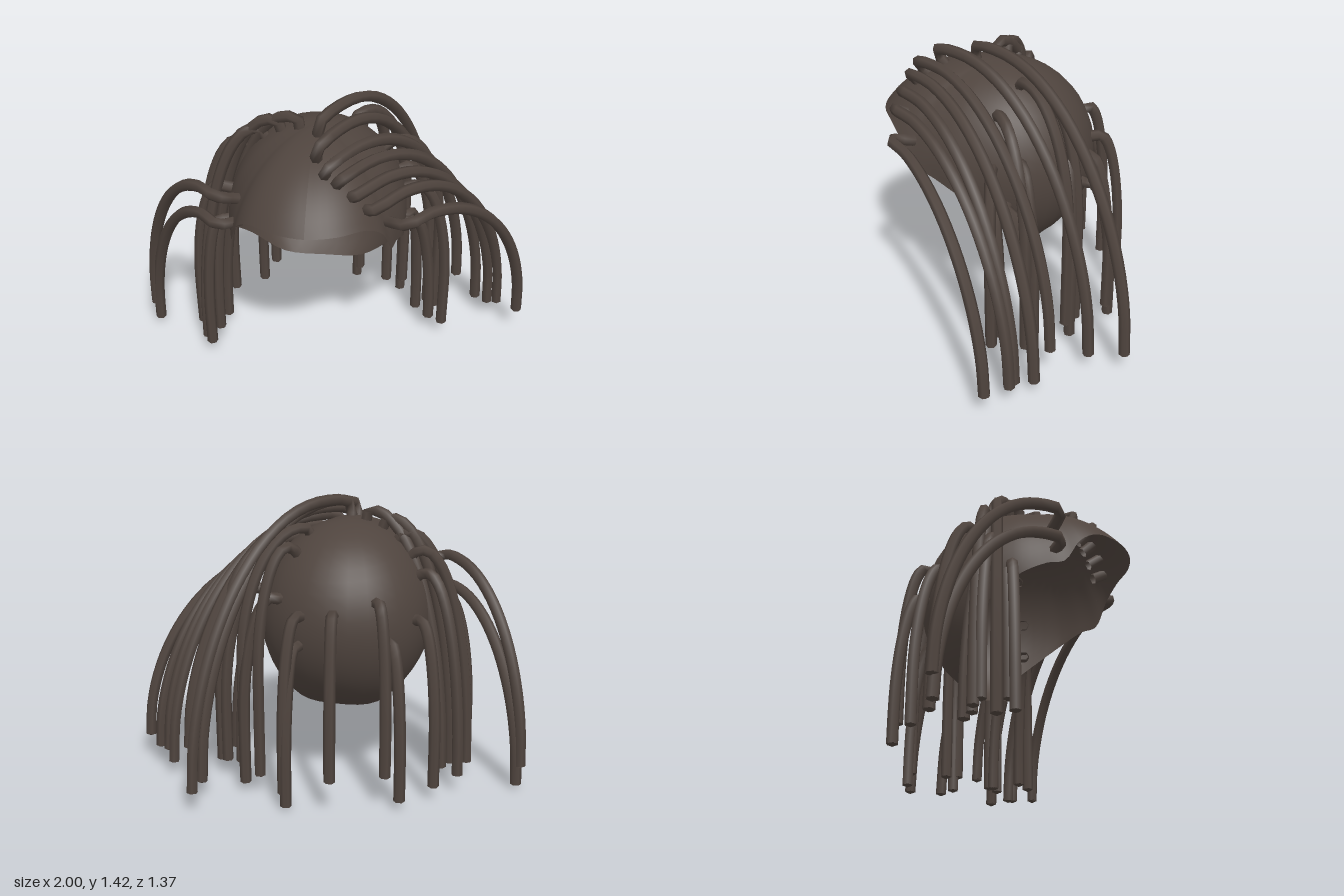
import * as THREE from 'three';

const V = (x, y, z) => new THREE.Vector3(x, y, z);
const CENTRE = V(-0.07, 0.855, 0.1);
const RADIUS = 0.46, WIDEN = 0.92, THICK = 0.028;

// Open-faced cap: meridians run from the crown down to a shaped hairline
function capGeometry() {
  const half = [
    [0, 1.05, 0.68], [0.14, 1.05, 0.65], [0.26, 1.04, 0.57], [0.33, 0.98, 0.5], [0.37, 0.86, 0.43],
    [0.39, 0.85, 0.35], [0.42, 0.78, 0.2], [0.36, 0.6, -0.02], [0.2, 0.44, -0.1], [0, 0.415, -0.12],
  ];
  const other = half.slice(1, -1).reverse().map(([x, y, z]) => [-x, y, z]);
  const rim = new THREE.CatmullRomCurve3([...half, ...other].map((p) => V(...p)), true);
  const cols = 72, rows = 20, pos = [], index = [];
  for (let i = 0; i <= cols; i++) {
    const e = rim.getPoint((i % cols) / cols);
    const d = V(e.x / WIDEN, e.y - CENTRE.y, e.z - CENTRE.z);
    const reach = d.length(), polar = Math.acos(d.y / reach), turn = Math.atan2(d.x, d.z);
    for (let j = 0; j <= rows; j++) {
      const t = j / rows;
      const p = V().setFromSphericalCoords(RADIUS + (reach - RADIUS) * t ** 1.6, polar * t, turn);
      pos.push(p.x * WIDEN + CENTRE.x, p.y + CENTRE.y, p.z + CENTRE.z);
      if (i < cols && j < rows) {
        const a = i * (rows + 1) + j, b = a + rows + 1;
        index.push(a, a + 1, b + 1, a, b + 1, b);
      }
    }
  }
  const g = new THREE.BufferGeometry();
  g.setAttribute('position', new THREE.Float32BufferAttribute(pos, 3));
  g.setIndex(index);
  g.computeVertexNormals();
  return g;
}

// Point just under the cap's surface, below a given elbow
function rootUnder([x, y, z]) {
  const d = V(x, y, z).sub(CENTRE);
  return d.multiplyScalar((RADIUS - 0.015) / Math.hypot(d.x / WIDEN, d.y, d.z)).add(CENTRE);
}

// Strand: leaves the cap at the root, arches over the elbow and hangs to the tip
function strand(name, root, elbow, tip, bend, lift, material) {
  const e = V(...elbow), t = V(...tip);
  const height = e.y - t.y;
  const drop = height - bend > 0.1 ? bend : height;
  const pts = [root];
  for (let i = 0; i <= 8; i++) {
    const a = (i / 8) * Math.PI / 2, s = Math.sin(a);
    pts.push(V(e.x + (t.x - e.x) * s, e.y - drop * (1 - Math.cos(a)) + lift * s * (1 - s), e.z + (t.z - e.z) * s));
  }
  if (drop < height) pts.push(t);
  const group = new THREE.Group();
  group.name = name;
  const tube = new THREE.Mesh(
    new THREE.TubeGeometry(new THREE.CatmullRomCurve3(pts), 28, THICK, 6), material);
  tube.name = name + 'Tube';
  const end = new THREE.Mesh(new THREE.ConeGeometry(THICK, 0.014, 6), material);
  end.name = name + 'Tip';
  end.rotation.x = Math.PI;
  end.position.set(t.x, t.y - 0.005, t.z);
  group.add(tube, end);
  return group;
}

export function createModel() {
  const model = new THREE.Group();
  model.name = 'hair';
  const brown = new THREE.MeshStandardMaterial({ color: 0x4f443e, side: THREE.DoubleSide });
  brown.name = 'dark brown hair';

  const cap = new THREE.Mesh(capGeometry(), brown);
  cap.name = 'scalpCap';
  model.add(cap);

  // Long locks swept back, as [elbow, tip, lift]
  const swept = [
    [[-0.05, 1.37, 0.22], [0.5, 0.11, -0.66], 0.34],
    [[-0.04, 1.34, 0.41], [0.52, 0.09, -0.49], 0.37],
    [[0.01, 1.29, 0.49], [0.65, 0.19, -0.33], 0.33],
    [[0.07, 1.25, 0.51], [0.76, 0.08, -0.28], 0.28],
    [[0.14, 1.19, 0.53], [0.82, 0.11, -0.2], 0.24],
    [[0.22, 1.13, 0.54], [0.87, 0.12, -0.19], 0.2],
    [[0.36, 1.04, 0.51], [0.97, 0.14, -0.1], 0.1],
    [[-0.5, 1.09, 0.43], [-0.975, 0.13, 0], 0.1],
    [[-0.5, 0.94, 0.43], [-0.96, 0.03, 0], 0.1],
  ];
  swept.forEach(([e, t, lift]) => {
    const elbow = V(...e);
    const root = elbow.clone().add(CENTRE.clone().sub(elbow).setLength(0.12));
    model.add(strand('sweptLock', root, e, t, 9, lift, brown));
  });

  // Row of locks stepping down from the crown on the right side
  const crown = [
    [[-0.16, 1.35, 0.14], [-0.58, 0.08, 0.0]],
    [[-0.26, 1.32, 0.11], [-0.62, 0.09, 0.05]],
    [[-0.35, 1.26, 0.08], [-0.66, 0.06, 0.17]],
    [[-0.43, 1.18, 0.05], [-0.7, 0.09, 0.08]],
    [[-0.47, 1.08, 0.0], [-0.68, 0.1, -0.12]],
  ];
  crown.forEach(([e, t]) => model.add(strand('crownLock', rootUnder(e), e, t, 9, 0.1, brown)));

  // Short locks that bend out of the cap and hang down
  const hanging = [
    [[-0.53, 0.96, 0.12], [-0.69, 0.12, 0.11]],
    [[-0.53, 0.82, 0.2], [-0.62, 0.08, 0.24]],
    [[-0.52, 0.8, 0.17], [-0.58, 0.15, 0.2]],
    [[-0.47, 0.88, -0.14], [-0.58, 0.08, -0.24]],
    [[-0.36, 0.8, -0.28], [-0.44, 0.05, -0.38]],
    [[-0.3, 0.99, -0.29], [-0.37, 0.17, -0.39]],
    [[-0.11, 0.94, -0.38], [-0.13, 0.17, -0.51]],
    [[0.07, 0.77, -0.37], [0.085, 0.02, -0.51]],
    [[0.06, 0.92, -0.37], [0.1, 0.08, -0.5]],
    [[0.14, 1.21, -0.19], [0.26, 0.1, -0.37]],
    [[0.19, 0.98, -0.28], [0.34, 0.05, -0.36]],
    [[0.1, 1.28, -0.05], [0.35, 0.12, -0.34]],
    [[0.33, 0.98, -0.1], [0.49, 0.09, -0.21]],
    [[0.37, 0.74, -0.05], [0.43, 0.07, -0.17]],
    [[0.38, 0.95, 0.02], [0.57, 0.09, -0.02]],
    [[0.38, 0.74, 0.02], [0.5, 0.1, -0.05]],
    [[0.26, 1.18, 0.02], [0.53, 0.08, -0.18]],
  ];
  hanging.forEach(([e, t]) => model.add(strand('hangingLock', rootUnder(e), e, t, 0.6, 0.1, brown)));
  return model;
}
